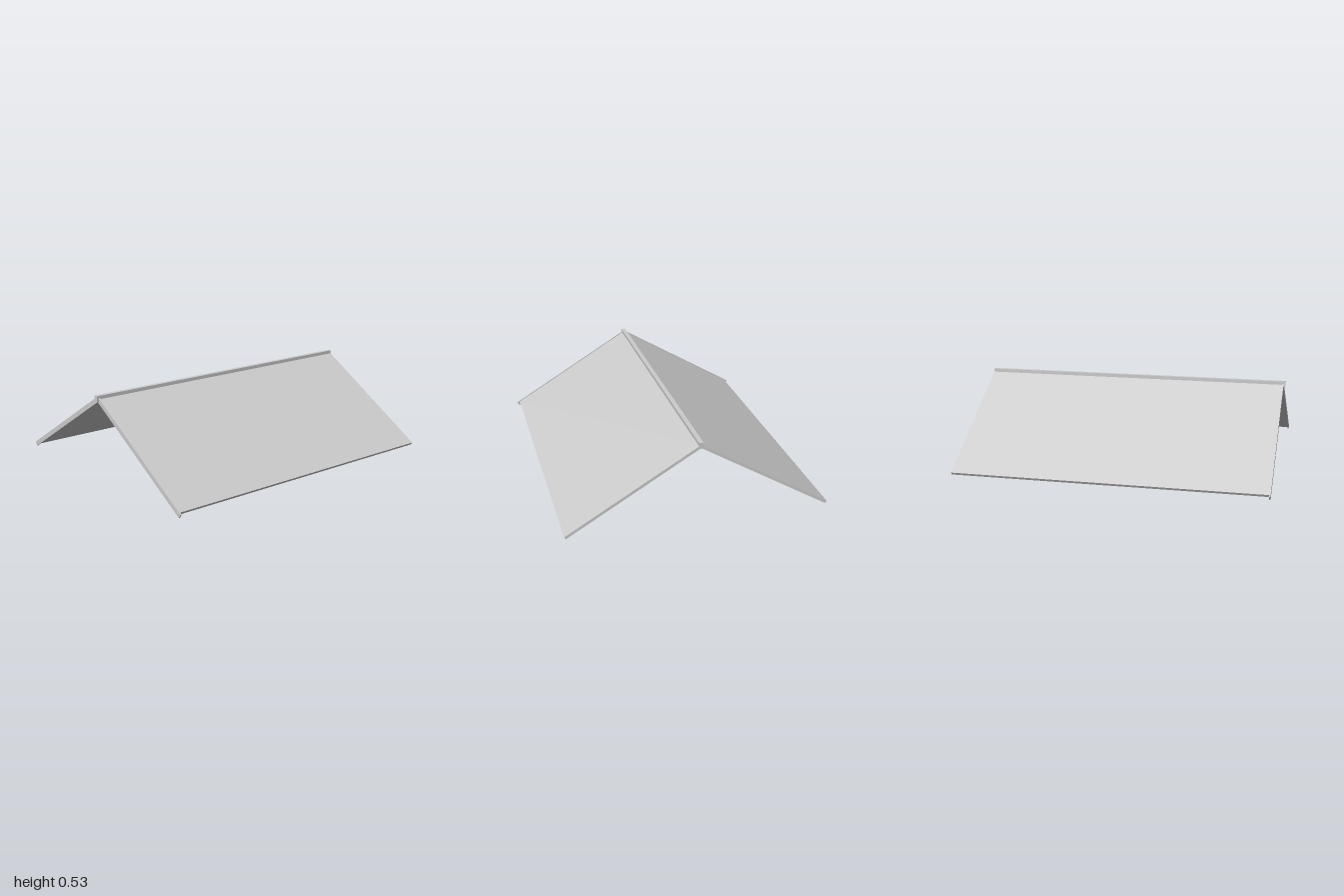
import * as THREE from 'three';

const material = new THREE.MeshStandardMaterial({ color: 0xcccccc, flatShading: true });

const APEX = 0.511; // height where the slope centre lines meet
const PITCH = Math.atan(0.6);

// Chevron half: a slab running down from the apex, square-cut at the eave and plumb-cut at the ridge
function slope(name, x0, x1, thickness, length, side) {
  const c = Math.cos(PITCH), s = Math.sin(PITCH), h = thickness / 2;
  const shape = new THREE.Shape([
    new THREE.Vector2(0, APEX - h / c),
    new THREE.Vector2(length * c - h * s, APEX - length * s - h * c),
    new THREE.Vector2(length * c + h * s, APEX - length * s + h * c),
    new THREE.Vector2(0, APEX + h / c),
  ]);
  const geometry = new THREE.ExtrudeGeometry(shape, { depth: x1 - x0, bevelEnabled: false });
  // profile lies in the zy plane, swept along x
  geometry.rotateY(-Math.PI / 2);
  geometry.translate(x1, 0, 0);
  if (side < 0) {
    // turn to the other slope, keeping the same x range
    geometry.translate(-(x0 + x1) / 2, 0, 0);
    geometry.rotateY(Math.PI);
    geometry.translate((x0 + x1) / 2, 0, 0);
  }
  const mesh = new THREE.Mesh(geometry, material);
  mesh.name = name;
  return mesh;
}

export function createModel() {
  const model = new THREE.Group();
  model.name = 'gableRoof';

  for (const [label, side] of [['front', 1], ['back', -1]]) {
    // thin roof panel
    model.add(slope(label + 'Panel', -0.98, 1, 0.0175, 0.95, side));
    // deeper edge board along the right-hand gable
    model.add(slope(label + 'GableTrim', -0.988, -0.98, 0.03, 0.968, side));
  }

  // ridge beam along the top
  const ridge = new THREE.Mesh(new THREE.BoxGeometry(2, 0.038, 0.027), material);
  ridge.name = 'ridgeBeam';
  ridge.position.set(0, 0.516, 0);
  model.add(ridge);

  return model;
}
